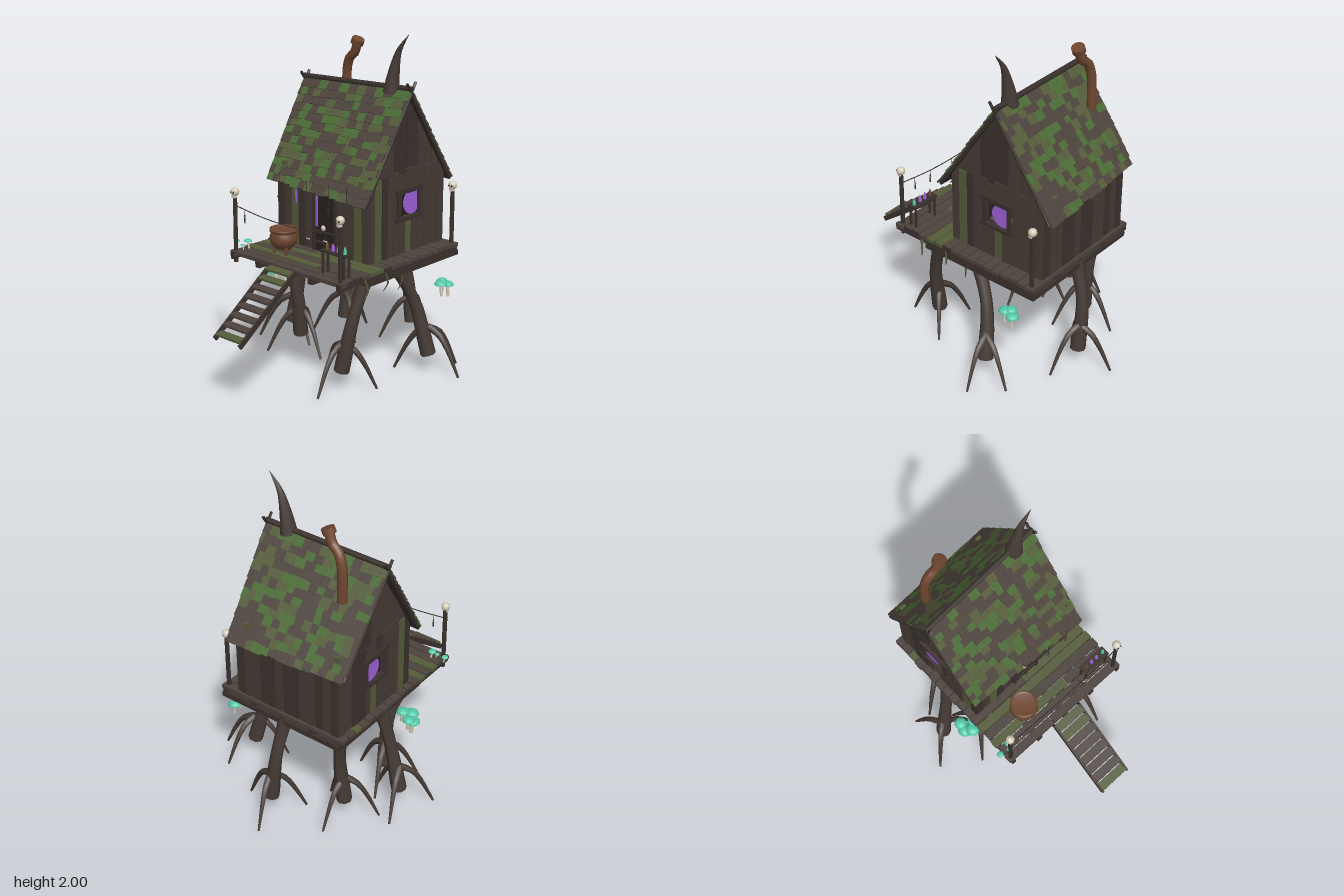
import * as THREE from 'three';
import { mergeGeometries } from 'three/addons/utils/BufferGeometryUtils.js';

const mat = (name, color) => Object.assign(new THREE.MeshStandardMaterial({ color }), { name });
const M = {
  bark: mat('bark', 0x463b35), wood: mat('wood', 0x4d433d), dark: mat('darkWood', 0x3a312d),
  mossWood: mat('mossyWood', 0x555c3a), moss: mat('roofMoss', 0x4b6b36), shade: mat('shadowWood', 0x28221f),
  copper: mat('copper', 0x6f4630), bone: mat('bone', 0xd6ccb8), teal: mat('teal', 0x4fc9a6), purple: mat('purple', 0x9f60da),
};
let seed = 7;
const rnd = (a = 0, b = 1) => { seed = (seed * 16807) % 2147483647; return a + (b - a) * seed / 2147483647; };
const V = (x, y, z) => new THREE.Vector3(x, y, z);

const box = (w, h, d, x, y, z, rx = 0, ry = 0, rz = 0) =>
  new THREE.BoxGeometry(w, h, d).rotateX(rx).rotateY(ry).rotateZ(rz).translate(x, y, z);

// Capped tube that follows a curve, with a radius for each position along it
function limb(points, radius, sides = 8, n = 10) {
  const curve = new THREE.CatmullRomCurve3(points.map(p => V(...p)));
  const f = curve.computeFrenetFrames(n);
  const g = new THREE.CylinderGeometry(1, 1, 1, sides, n);
  const p = g.attributes.position;
  for (let i = 0; i < p.count; i++) {
    const t = p.getY(i) + 0.5, k = Math.round(t * n), r = radius(t);
    const q = curve.getPointAt(t).addScaledVector(f.binormals[k], p.getX(i) * r).addScaledVector(f.normals[k], p.getZ(i) * r);
    p.setXYZ(i, q.x, q.y, q.z);
  }
  g.computeVertexNormals();
  return g;
}
function rod(a, b, r, sides = 6) {
  const A = V(...a), B = V(...b), d = B.clone().sub(A);
  return new THREE.CylinderGeometry(r, r, d.length(), sides)
    .applyQuaternion(new THREE.Quaternion().setFromUnitVectors(V(0, 1, 0), d.normalize()))
    .translate(...A.add(B).multiplyScalar(0.5).toArray());
}
// Group of pieces [material, geometry], merged to one mesh per colour
function part(parent, name, pieces) {
  const group = new THREE.Group();
  group.name = name;
  for (const m of new Set(pieces.map(p => p[0]))) {
    const list = pieces.filter(p => p[0] === m).map(p => (p[1].index ? p[1].toNonIndexed() : p[1]));
    const mesh = new THREE.Mesh(mergeGeometries(list), m);
    mesh.name = `${name} ${m.name}`;
    group.add(mesh);
  }
  parent.add(group);
}

// Roots: six bent legs, each with three spreading toes [top, middle, bottom, toe angles]
function legs(root) {
  const specs = [
    [[-0.39, 0.67, -0.19], [-0.44, 0.45, -0.17], [-0.5, 0.11, -0.15], [-110, 139, 15]],
    [[-0.35, 0.67, 0.1], [-0.29, 0.43, 0.03], [-0.3, 0.11, -0.02], [10, 130, 250]],
    [[0, 0.67, -0.57], [0.02, 0.43, -0.64], [0.06, 0.11, -0.65], [-107, 13, 133]],
    [[0.37, 0.67, 0.14], [0.34, 0.43, 0.21], [0.28, 0.11, 0.24], [88, 200, 320]],
    [[0.36, 0.67, -0.14], [0.41, 0.43, -0.25], [0.48, 0.11, -0.3], [-75, -9, 150]],
    [[-0.33, 0.67, -0.48], [-0.29, 0.43, -0.45], [-0.3, 0.11, -0.42], [30, 150, 270]],
  ];
  for (const [a, b, c, angles] of specs) {
    const pieces = [[M.bark, limb([a, b, c], t => 0.046 - 0.018 * Math.sin(t * Math.PI) * (1 - t))]];
    const [x, , z] = c;
    for (const deg of angles) {
      const s = Math.sin(deg * Math.PI / 180), k = Math.cos(deg * Math.PI / 180);
      const at = (d, y) => [x + k * d, y, z + s * d];
      pieces.push([M.bark, limb([at(0, 0.28), at(0.07, 0.245), at(0.125, 0.17), at(0.205, 0.005)], t => 0.022 - 0.015 * t, 6, 8)]);
    }
    part(root, 'rootLeg', pieces);
  }
}

// Deck planks over joists and a dark base slab
function deck(root) {
  const p = [], rows = 17, step = 1.035 / rows;
  for (let i = 0; i < rows; i++) {
    const z = -0.612 + (i + 0.5) * step, cut = i === 14 ? 0.14 : rnd(-0.2, 0.25);
    const l = -0.445 + rnd(0, 0.012), r = 0.448 - rnd(0, 0.015);
    [[l, cut - 0.003], [cut + 0.003, r]].forEach(([a, b], k) =>
      p.push([i === 12 || (i === 14 && k === 0) || (i < 12 && rnd() < 0.15) ? M.mossWood : M.wood,
        box(b - a, 0.022, step - 0.008, (a + b) / 2, 0.71 + rnd(-0.002, 0.002), z)]));
  }
  for (const x of [-0.21, 0, 0.21]) p.push([M.dark, box(0.035, 0.035, 1.03, x, 0.685, -0.09)]);
  for (const x of [-0.42, 0.425]) p.push([M.dark, box(0.024, 0.043, 1.035, x, 0.696, -0.09)]);
  for (const z of [0.175, -0.595]) p.push([M.dark, box(0.85, 0.03, 0.035, 0.015, 0.66, z)]);
  for (const x of [-0.4, 0.425]) p.push([M.dark, box(0.03, 0.03, 0.735, x, 0.66, -0.21)]);
  p.push([M.shade, box(0.8, 0.024, 0.74, 0.012, 0.66, -0.21)]);
  part(root, 'deck', p);

  // Skull-topped posts
  for (const [x, z] of [[-0.42, 0.395], [0.413, 0.395], [0.413, -0.58]])
    part(root, 'skullPost', [
      [M.dark, rod([x, 0.65, z], [x, 1.05, z], 0.013)],
      [M.bone, new THREE.SphereGeometry(0.026, 12, 8).translate(x, 1.077, z)],
      [M.bone, box(0.024, 0.02, 0.024, x, 1.052, z + 0.006)],
      ...[-0.01, 0.01].map(e => [M.shade, new THREE.SphereGeometry(0.006, 6, 5).translate(x + e, 1.077, z + 0.022)])]);

  // Ladder with stringers and flat treads
  const l = [];
  for (const x of [-0.1, 0.1]) l.push([M.dark, box(0.014, 0.03, 0.545, x, 0.55, 0.645, 0.635)]);
  for (let i = 0; i < 8; i++)
    l.push([[0, 1, 7].includes(i) ? M.mossWood : M.wood, box(0.19, 0.012, 0.055, 0, 0.705 - i * 0.041, 0.455 + i * 0.055, 0.1)]);
  part(root, 'ladder', l);
}

// Plank walls
const roofY = z => 1.645 - 1.49 * Math.abs(z + 0.25);
const shapeOf = pts => new THREE.Shape(pts.map(q => new THREE.Vector2(...q)));
// Upright plate in the z-y plane; shape x runs towards -z
const gablePlate = (shape, x, depth) =>
  new THREE.ExtrudeGeometry(shape, { depth, bevelEnabled: false }).rotateY(Math.PI / 2).translate(x, 0, 0);
function gablePiece(z0, z1, y0, y1, x) {
  const top = z => Math.max(y0 + 0.002, Math.min(y1, roofY(z)));
  return gablePlate(shapeOf([[-z0, y0], [-z1, y0], [-z1, top(z1)], [-z0, top(z0)]]), x, 0.02);
}
function walls(root) {
  const edges = [0.072, 0.02, -0.04, -0.09, -0.14, -0.19, -0.245, -0.3, -0.345, -0.41, -0.47, -0.53, -0.59];
  for (const [x, side] of [[0.325, 1], [-0.385, -1]]) {
    const p = [];
    for (let i = 0; i < 12; i++) {
      const z0 = edges[i] - 0.003, z1 = edges[i + 1] + 0.003, seam = 1.21 + rnd(-0.02, 0.02);
      const spans = i >= 5 && i < 8 ? [[0.72, 0.94], [1.085, seam], [seam + 0.006, 2]] : [[0.72, seam], [seam + 0.006, 2]];
      spans.forEach(([a, b], k) => {
        if (Math.max(roofY(z0), roofY(z1)) > a + 0.01)
          p.push([k === 0 && (i === 1 || i === 6) ? M.mossWood : rnd() < 0.25 ? M.dark : M.bark,
            gablePiece(z0, z1, a, b, x - 0.01 + rnd(-0.003, 0.003))]);
      });
    }
    // Dark lining with the window opening
    const s = shapeOf([[-0.06, 0.72], [0.585, 0.72], [0.585, 1.13], [0.25, 1.63], [-0.06, 1.15]]);
    s.holes.push(new THREE.Path([[0.19, 0.94], [0.19, 1.085], [0.345, 1.085], [0.345, 0.94]].map(q => new THREE.Vector2(...q))));
    p.push([M.shade, gablePlate(s, x - 0.005 - side * 0.012, 0.01)]);
    part(root, 'gableWall', p);
    const fx = x + side * 0.016;
    part(root, 'sideWindow', [
      [M.dark, box(0.022, 0.03, 0.23, fx, 1.1, -0.265)], [M.dark, box(0.028, 0.022, 0.23, fx, 0.933, -0.265)],
      [M.dark, box(0.02, 0.17, 0.026, fx, 1.015, -0.178)], [M.dark, box(0.02, 0.17, 0.026, fx, 1.015, -0.357)],
      [M.purple, new THREE.CylinderGeometry(0.072, 0.072, 0.008, 24).rotateZ(Math.PI / 2).translate(x + side * 0.008, 1.02, -0.3)]]);
  }
  for (const [z, side] of [[0.06, 1], [-0.583, -1]]) {
    const p = [[M.shade, box(0.7, 0.42, 0.01, -0.03, 0.93, z - side * 0.012)]];
    for (let i = 0; i < 13; i++) {
      const x = -0.392 + (i + 0.5) * 0.0555, h = 0.43 + rnd(-0.015, 0.01);
      p.push([side > 0 && (i === 2 || i === 11) ? M.mossWood : rnd() < 0.35 ? M.dark : M.bark,
        box(0.05, h, 0.02, x, 0.72 + h / 2, z + rnd(-0.003, 0.003), 0, 0, rnd(-0.01, 0.01))]);
    }
    part(root, side > 0 ? 'frontWall' : 'backWall', p);
  }
  // Doorway with a purple glow and a shelf
  part(root, 'door', [
    [M.shade, box(0.15, 0.36, 0.006, -0.005, 0.9, 0.073)], [M.purple, box(0.016, 0.2, 0.005, -0.068, 0.97, 0.077)],
    [M.purple, box(0.009, 0.1, 0.005, -0.24, 1.03, 0.073)],
    ...[-0.09, 0.08].map(x => [M.dark, box(0.02, 0.38, 0.022, x, 0.91, 0.073)]),
    [M.dark, box(0.19, 0.02, 0.022, -0.005, 1.1, 0.073)],
    ...[0.845, 0.78].map(y => [M.dark, box(0.15, 0.012, 0.02, 0, y, 0.075)]),
    [M.bone, new THREE.SphereGeometry(0.018, 10, 8).translate(-0.015, 0.868, 0.072)]]);
}

// Shingled roof; each slope runs between a ridge edge and an eave edge
function roof(root) {
  const RL = V(-0.45, 1.655, -0.225), RR = V(0.355, 1.68, -0.262);
  const slopes = [[RL, RR, V(-0.44, 1.1, 0.105), V(0.368, 1.08, 0.14)], [RR, RL, V(0.345, 1.1, -0.65), V(-0.44, 1.13, -0.61)]];
  for (const [a, b, c, d] of slopes) {
    const at = (u, v) => a.clone().lerp(b, u).lerp(c.clone().lerp(d, u), v);
    const right = b.clone().sub(a).normalize();
    const nrm = c.clone().sub(a).cross(right).normalize(), down = right.clone().cross(nrm);
    const base = new THREE.BoxGeometry(1, 1, 1), q = base.attributes.position;
    for (let i = 0; i < q.count; i++) {
      const w = at(q.getX(i) + 0.5, q.getZ(i) + 0.5).addScaledVector(nrm, q.getY(i) * 0.018 - 0.01);
      q.setXYZ(i, w.x, w.y, w.z);
    }
    base.computeVertexNormals();
    const p = [[M.dark, base]], rows = 13;
    for (let r = 0; r < rows; r++) {
      for (let u = r % 2 ? -0.04 : 0; u < 0.985;) {
        const du = rnd(0.055, 0.09), u0 = Math.max(u, -0.003), u1 = Math.min(u + du, 1.004);
        const g = new THREE.BoxGeometry((u1 - u0) * 0.808 - 0.002, 0.01, 0.07).rotateX(-0.12).rotateY(rnd(-0.05, 0.05));
        g.applyMatrix4(new THREE.Matrix4().makeBasis(right, nrm, down)
          .setPosition(at((u0 + u1) / 2, (r + 0.5 + rnd(-0.12, 0.12)) / rows).addScaledVector(nrm, 0.006)));
        const k = rnd();
        p.push([k < 0.28 ? M.moss : k < 0.54 ? M.mossWood : M.wood, g]);
        u += du;
      }
    }
    for (const u of [0.13, 0.9]) {
      const w = at(u, 0.83).addScaledVector(nrm, 0.016);
      p.push([M.mossWood, box(0.035, 0.028, 0.018, w.x, w.y, w.z)]);
    }
    part(root, 'roofSlope', p);
    // Thin gable boards that cross above the ridge
    part(root, 'gableTrim', [0.006, 0.994].map(u =>
      [M.dark, limb([at(u, -0.085), at(u, 0.4), at(u, 0.99)].map(w => w.addScaledVector(nrm, -0.006).toArray()), () => 0.009, 5, 4)]));
  }
  part(root, 'ridgeLog', [[M.dark, rod([-0.455, 1.668, -0.225], [0.36, 1.692, -0.262], 0.016, 8)]]);
  part(root, 'horn', [[M.bark, limb([[0.21, 1.655, -0.25], [0.228, 1.77, -0.25], [0.265, 1.9, -0.25], [0.335, 2, -0.25]], t => 0.05 * (1 - t) + 0.001, 10, 14)]]);
  part(root, 'chimney', [
    [M.copper, limb([[-0.29, 1.49, -0.425], [-0.285, 1.7, -0.418], [-0.255, 1.78, -0.41], [-0.215, 1.81, -0.405], [-0.185, 1.88, -0.4]], () => 0.028, 10, 16)],
    [M.copper, rod([-0.192, 1.868, -0.4], [-0.178, 1.9, -0.4], 0.039, 12)]]);
}

function mushroom(x, y, z, r) {
  return [[M.teal, new THREE.SphereGeometry(r, 12, 6, 0, Math.PI * 2, 0, Math.PI / 2).scale(1, 0.65, 1).translate(x, y, z)],
    [M.teal, new THREE.CircleGeometry(r, 12).rotateX(Math.PI / 2).translate(x, y, z)],
    [M.bone, rod([x, y, z], [x + 0.008, y - r * 1.8, z], r * 0.25)]];
}
function details(root) {
  // Cauldron on three feet
  const profile = [[0, 0], [0.045, 0.006], [0.075, 0.035], [0.084, 0.07], [0.074, 0.1], [0.07, 0.108], [0.083, 0.113], [0.083, 0.125], [0.068, 0.125], [0.066, 0.115], [0, 0.115]];
  const pot = [[M.copper, new THREE.LatheGeometry(profile.map(q => new THREE.Vector2(...q)), 20).translate(-0.175, 0.748, 0.245)]];
  for (let i = 0; i < 3; i++) {
    const a = i * 2.094 + 0.5, x = -0.175 + 0.055 * Math.cos(a), z = 0.245 + 0.055 * Math.sin(a);
    pot.push([M.copper, rod([x, 0.78, z], [x, 0.72, z], 0.01)]);
  }
  part(root, 'cauldron', pot);

  // Potion table
  const t = [[M.dark, box(0.19, 0.014, 0.06, 0.315, 0.853, 0.325)]];
  for (const x of [0.235, 0.395]) for (const z of [0.305, 0.345]) t.push([M.dark, box(0.012, 0.13, 0.012, x, 0.785, z)]);
  [[0.25, M.copper], [0.295, M.purple], [0.335, M.purple], [0.385, M.teal]].forEach(([x, m]) => t.push(
    [m, new THREE.CylinderGeometry(0.009, 0.011, 0.025, 8).translate(x, 0.872, 0.325)],
    [m, new THREE.ConeGeometry(0.008, 0.025, 8).translate(x, 0.896, 0.325)]));
  part(root, 'potionTable', t);

  // Slack rope with bone charms, and strings below the eave
  const sag = x => 0.96 + 0.035 * (x / 0.42) ** 2;
  const c = [[M.dark, limb([-0.42, -0.2, 0, 0.2, 0.413].map(x => [x, sag(x), 0.395]), () => 0.003, 5, 16)]];
  for (const x of [-0.34, 0.17, 0.3]) c.push(
    [M.dark, rod([x, sag(x), 0.395], [x, sag(x) - 0.05, 0.395], 0.002, 4)],
    [M.dark, rod([x, sag(x) - 0.03, 0.395], [x, sag(x) - 0.08, 0.395], 0.004)],
    [M.bone, rod([x - 0.012, sag(x) - 0.045, 0.395], [x + 0.012, sag(x) - 0.045, 0.395], 0.004)]);
  for (const x of [-0.295, -0.07, 0.1, 0.24]) c.push(
    [M.dark, rod([x, 1.17, 0.157], [x, 0.98, 0.157], 0.002, 4)],
    [M.dark, rod([x - 0.015, 1.02, 0.157], [x + 0.015, 1.02, 0.157], 0.004)]);
  part(root, 'charms', c);

  // Glowing mushrooms
  part(root, 'mushrooms', [
    [-0.46, 0.475, 0.03, 0.045], [-0.43, 0.5, 0.065, 0.042], [-0.39, 0.515, 0.03, 0.038], [-0.46, 0.51, -0.01, 0.038],
    [0.46, 0.505, -0.43, 0.039], [0.465, 0.49, -0.485, 0.039], [0.445, 0.515, -0.46, 0.033],
    [-0.46, 0.755, 0.35, 0.02], [-0.38, 0.77, 0.335, 0.024], [-0.4, 0.745, 0.36, 0.014]].flatMap(m => mushroom(...m)));

  // Vines below the deck
  part(root, 'vines', [[0.28, 0.5, 0.12], [0.31, 0.53, 0.2], [0.44, 0.57, 0.22], [0.43, 0.58, 0.04], [0.42, 0.55, -0.1], [-0.3, 0.6, 0.2], [0.3, 0.57, -0.12]]
    .map(([x, y, z]) => [M.mossWood, limb([[x, 0.69, z], [x + 0.012, (y + 0.69) / 2, z - 0.012], [x - 0.005, y, z + 0.01]], k => 0.009 - 0.007 * k, 5, 6)]));
}

export function createModel() {
  const root = new THREE.Group();
  root.name = 'swampHut';
  [legs, deck, walls, roof, details].forEach(build => build(root));
  return root;
}
